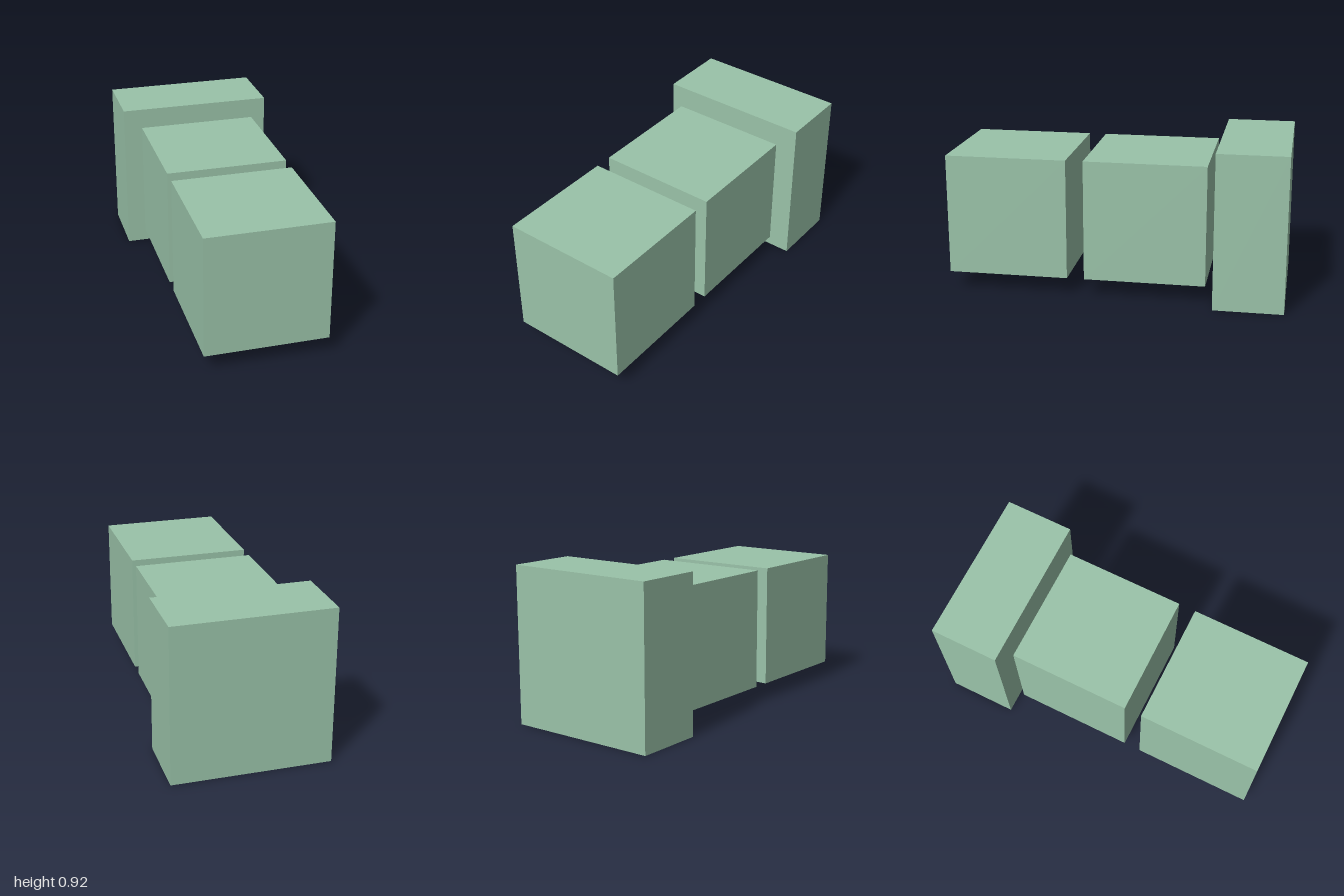
import * as THREE from 'three';

// Proportions sit on a grid of 78 units along the length, scaled to 2.
const U = 2 / 78;

export function createModel() {
  const model = new THREE.Group();
  const green = new THREE.MeshStandardMaterial({ color: 0x9ac3a9 });
  green.name = 'sage green';

  // A square block centred on the axis, running forward from zBack.
  const addBlock = (name, side, depth, zBack) => {
    const mesh = new THREE.Mesh(new THREE.BoxGeometry(side * U, side * U, depth * U), green);
    mesh.name = name;
    mesh.position.set(0, 18 * U, (zBack + depth / 2) * U);
    model.add(mesh);
  };

  addBlock('backSlab', 36, 16, -39);
  addBlock('middleCube', 28, 28, -21);
  addBlock('frontCube', 28, 28, 11);

  return model;
}
